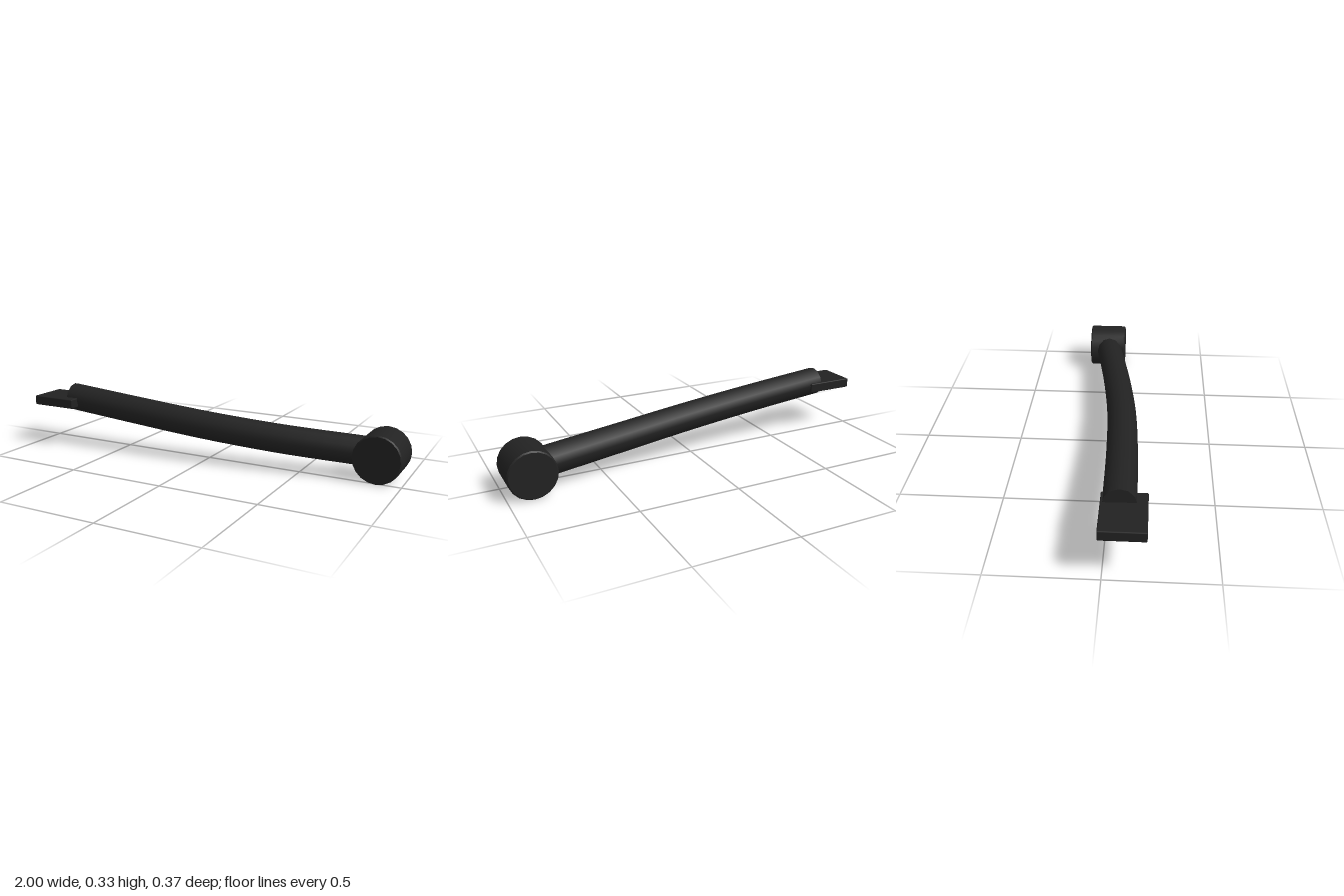
import * as THREE from 'three';
import { toCreasedNormals } from 'three/addons/utils/BufferGeometryUtils.js';
import { RoundedBoxGeometry } from 'three/addons/geometries/RoundedBoxGeometry.js';

export function createModel() {
  const group = new THREE.Group();
  const black = new THREE.MeshStandardMaterial({ color: 0x222222 });
  black.name = 'black';

  const add = (name, geometry, x = 0, y = 0, z = 0) => {
    const mesh = new THREE.Mesh(geometry, black);
    mesh.name = name;
    mesh.position.set(x, y, z);
    group.add(mesh);
    return mesh;
  };

  // Curved round arm, sweeping back toward the pivot
  const radius = 0.074;
  const path = new THREE.CatmullRomCurve3([
    [-0.82, 0.257, 0.067], [-0.4, 0.22, 0.058], [0, 0.184, 0.037],
    [0.4, 0.153, -0.01], [0.78, 0.132, -0.073], [0.86, 0.127, -0.087],
  ].map((p) => new THREE.Vector3(...p)));
  add('arm', new THREE.TubeGeometry(path, 20, radius, 12));

  // Flat caps closing both arm ends
  for (const [name, t, sign] of [['armOuterCap', 0, -1], ['armInnerCap', 1, 1]]) {
    const p = path.getPointAt(t);
    const cap = add(name, new THREE.CircleGeometry(radius, 12), p.x, p.y, p.z);
    cap.lookAt(p.clone().addScaledVector(path.getTangentAt(t), sign));
  }

  // Pivot drum with slightly bevelled rims, axis along z
  const r = 0.119, depth = 0.204, bevel = 0.006;
  const profile = [
    [0, 0], [r - bevel, 0], [r, bevel], [r, depth - bevel], [r - bevel, depth], [0, depth],
  ].map((p) => new THREE.Vector2(...p));
  const drum = toCreasedNormals(new THREE.LatheGeometry(profile, 20), 0.6);
  drum.rotateX(Math.PI / 2);
  add('pivotDrum', drum, 0.88, 0.119, -0.187);

  // Flat mounting plate set into the free end
  add('mountingPlate', new RoundedBoxGeometry(0.252, 0.05, 0.203, 1, 0.005), -0.874, 0.24, 0.086);

  return group;
}
